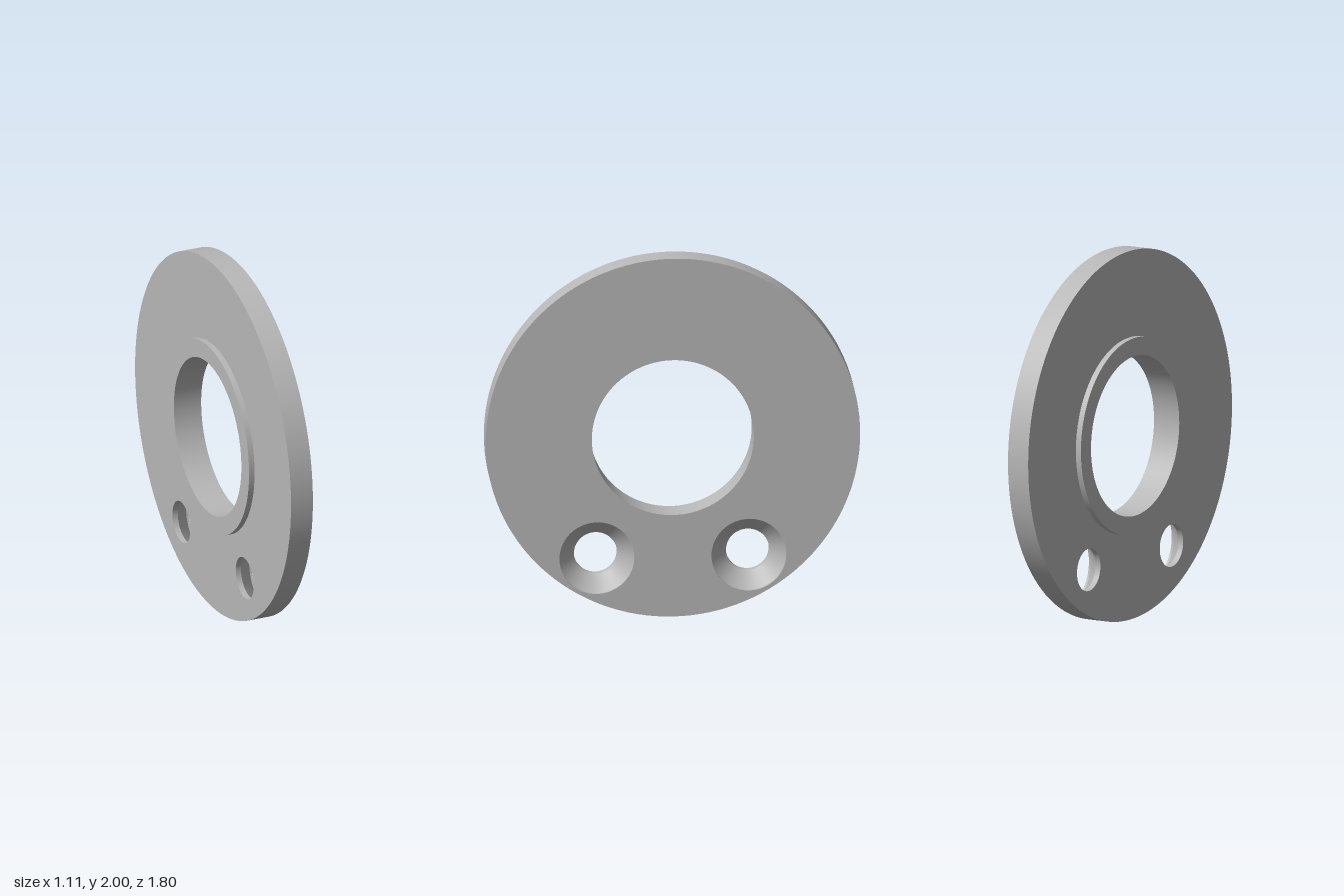
import * as THREE from 'three';

// Dimensions (local frame: disc axis along z, raised collar on +z)
const R = 1, H = 0.064;                 // plate radius and half thickness
const COLLAR_R = 0.532, COLLAR_Z = 0.096, BORE_R = 0.433;
const SCREW_X = 0.406, SCREW_Y = -0.664, SCREW_R = 0.115, SINK_R = 0.2;
const SINK_RIM_Z = -H + 0.012, SINK_END_Z = SINK_RIM_Z + (SINK_R - SCREW_R);

export function createModel() {
  const steel = new THREE.MeshStandardMaterial({ color: 0xb8b8b8 });
  steel.name = 'grey steel';

  const plate = new THREE.Group();
  plate.name = 'flangePlate';

  const add = (name, geometry, x = 0, y = 0, z = 0) => {
    const mesh = new THREE.Mesh(geometry, steel);
    mesh.name = name;
    mesh.position.set(x, y, z);
    plate.add(mesh);
    return mesh;
  };

  // Wall of revolution about z; rising z faces outward, falling z faces inward
  const wall = (name, r0, z0, r1, z1, x = 0, y = 0) => {
    const points = [new THREE.Vector2(r0, z0), new THREE.Vector2(r1, z1)];
    add(name, new THREE.LatheGeometry(points, 128).rotateX(Math.PI / 2), x, y);
  };

  // Flat disc with round holes given as [x, y, radius]
  const face = (name, radius, holes, z, back = false) => {
    const shape = new THREE.Shape().absarc(0, 0, radius, 0, Math.PI * 2, false);
    for (const [x, y, r] of holes) {
      shape.holes.push(new THREE.Path().absarc(x, y, r, 0, Math.PI * 2, true));
    }
    const mesh = add(name, new THREE.ShapeGeometry(shape, 64), 0, 0, z);
    if (back) mesh.rotation.y = Math.PI; // layout is mirror symmetric in x
  };

  const screwHoles = (r) => [-1, 1].map((s) => [s * SCREW_X, SCREW_Y, r]);

  // Plate body
  wall('plateRim', R, -H, R, H);
  face('plateFrontFace', R, [[0, 0, COLLAR_R], ...screwHoles(SCREW_R)], H);
  face('plateBackFace', R, [[0, 0, BORE_R], ...screwHoles(SINK_R)], -H, true);

  // Raised collar and central bore
  wall('collarRim', COLLAR_R, H, COLLAR_R, COLLAR_Z);
  face('collarFace', COLLAR_R, [[0, 0, BORE_R]], COLLAR_Z);
  wall('centralBore', BORE_R, COLLAR_Z, BORE_R, -H);

  // Countersunk screw holes, opening on the back
  for (const s of [-1, 1]) {
    const x = s * SCREW_X;
    wall('screwHoleBore', SCREW_R, H, SCREW_R, SINK_END_Z, x, SCREW_Y);
    wall('screwHoleCountersink', SCREW_R, SINK_END_Z, SINK_R, SINK_RIM_Z, x, SCREW_Y);
    wall('screwHoleLip', SINK_R, SINK_RIM_Z, SINK_R, -H, x, SCREW_Y);
  }

  // Stand the disc upright, turned about the vertical
  plate.position.y = R;
  plate.rotation.y = -Math.PI / 3;

  const model = new THREE.Group();
  model.name = 'countersunkFlange';
  model.add(plate);
  return model;
}
